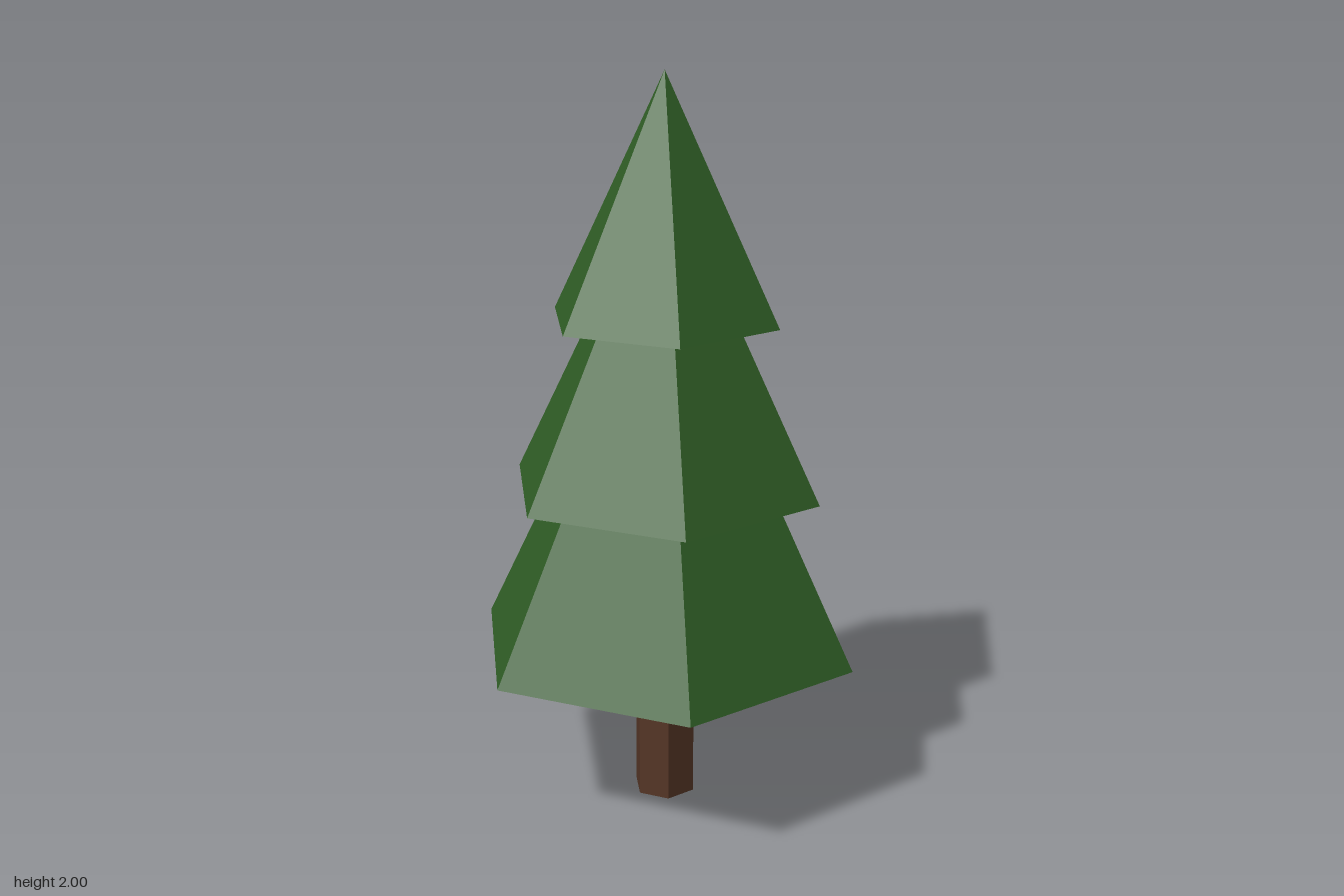
import * as THREE from 'three';

const SIDES = 6;

export function createModel() {
  const tree = new THREE.Group();
  tree.name = 'pineTree';

  const needles = new THREE.MeshStandardMaterial({ color: 0x2f5d25, flatShading: true });
  needles.name = 'needle green';
  const bark = new THREE.MeshStandardMaterial({ color: 0x553626, flatShading: true });
  bark.name = 'bark brown';

  // Hexagonal trunk, reaching slightly into the lowest tier
  const trunkHeight = 0.5;
  const trunk = new THREE.Mesh(
    new THREE.CylinderGeometry(0.087, 0.087, trunkHeight, SIDES), bark);
  trunk.name = 'trunk';
  trunk.position.y = trunkHeight / 2;
  tree.add(trunk);

  // Three overlapping foliage cones, shrinking towards the top
  const tiers = [
    { name: 'lowerFoliage', base: 0.447, apex: 1.54, radius: 0.543 },
    { name: 'middleFoliage', base: 0.9, apex: 1.77, radius: 0.439 },
    { name: 'upperFoliage', base: 1.36, apex: 2, radius: 0.32 },
  ];
  for (const { name, base, apex, radius } of tiers) {
    const tier = new THREE.Mesh(
      new THREE.ConeGeometry(radius, apex - base, SIDES), needles);
    tier.name = name;
    tier.position.y = (base + apex) / 2;
    tree.add(tier);
  }
  return tree;
}
